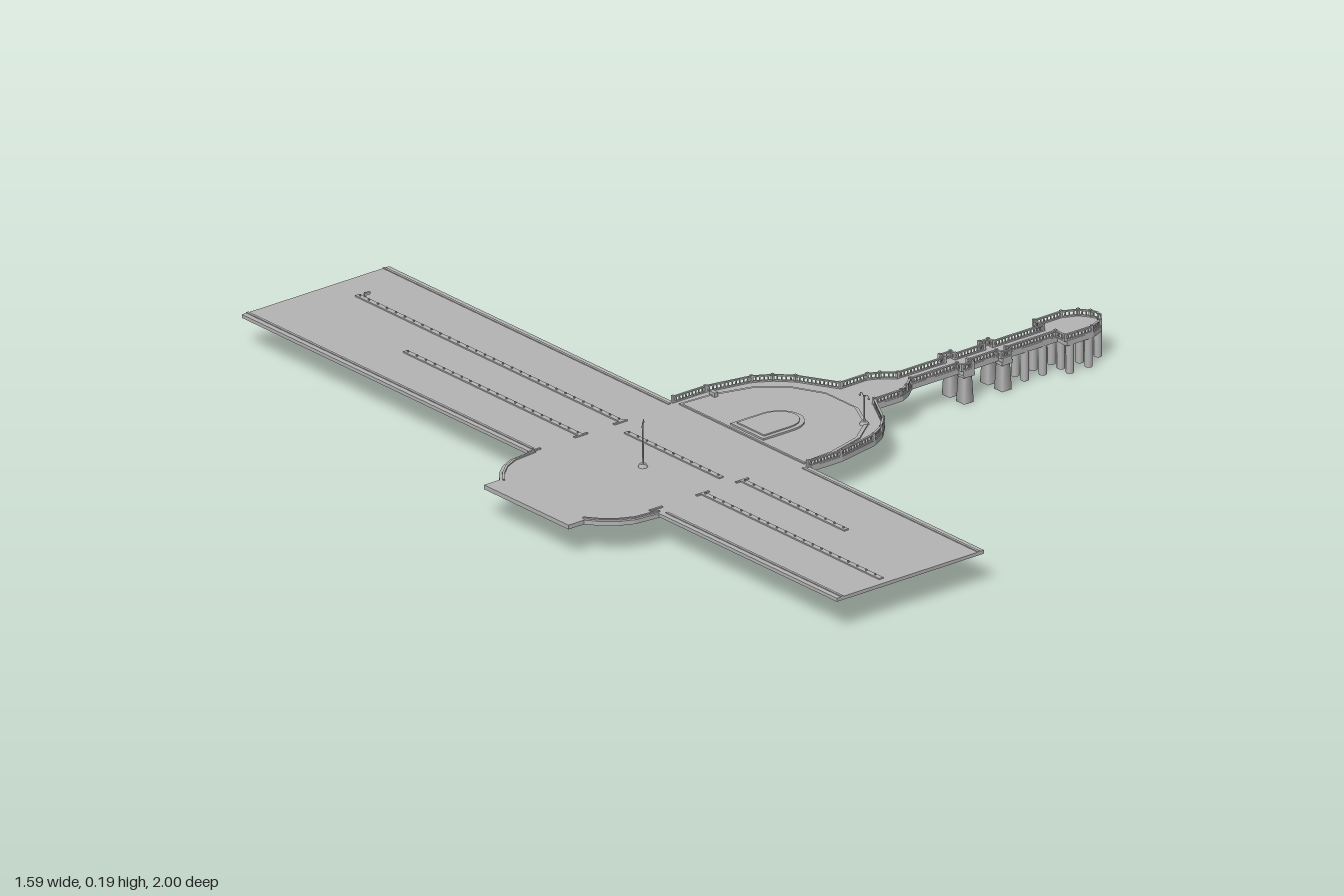
import * as THREE from 'three';

const MID = 0.185;   // z of the plaza and pier axis
const TOP = 0.08;    // road surface height
const stone = new THREE.MeshStandardMaterial({ color: 0xb4b4b4 });
stone.name = 'pale stone';

export function createModel() {
  const root = new THREE.Group();
  const group = (name) => {
    const g = new THREE.Group();
    g.name = name;
    root.add(g);
    return g;
  };
  const add = (parent, name, geo, x = 0, y = 0, z = 0) => {
    const m = new THREE.Mesh(geo, stone);
    m.name = name;
    m.position.set(x, y, z);
    parent.add(m);
    return m;
  };
  const box = (parent, name, w, h, d, x, y, z) =>
    add(parent, name, new THREE.BoxGeometry(w, h, d), x, y, z);
  // closed outline from half an outline given as [x, distance from axis]
  const mirrored = (half) => [
    ...half.map(([x, d]) => [x, MID - d]),
    ...half.filter(([, d]) => d > 0).reverse().map(([x, d]) => [x, MID + d]),
  ];
  // horizontal slab with its underside at y
  const slab = (parent, name, outline, y, h, hole) => {
    const v = (pts) => pts.map(([x, z]) => new THREE.Vector2(x, -z));
    const shape = new THREE.Shape(v(outline));
    if (hole) shape.holes.push(new THREE.Path(v(hole)));
    const geo = new THREE.ExtrudeGeometry(shape, { depth: h, bevelEnabled: false });
    geo.rotateX(-Math.PI / 2);
    return add(parent, name, geo, 0, y, 0);
  };
  // bar lying along a line between two ground points
  const bar = (parent, name, [x0, z0], [x1, z1], y, h, w) => {
    const len = Math.hypot(x1 - x0, z1 - z0);
    const m = box(parent, name, len + w * 0.8, h, w, (x0 + x1) / 2, y, (z0 + z1) / 2);
    m.rotation.y = -Math.atan2(z1 - z0, x1 - x0);
  };

  // Road
  const road = group('road');
  box(road, 'roadDeck', 0.41, 0.008, 2, -0.405, TOP - 0.004, 0);
  for (const x of [-0.595, -0.215]) {
    for (const [a, b] of [[-1, -0.04], [0.41, 1]])
      box(road, 'roadKerb', 0.006, 0.002, b - a, x, TOP + 0.001, (a + b) / 2);
  }
  // Median strips with bollards
  const medians = [[-0.47, 0.38, 0.98], [-0.36, 0.38, 0.73], [-0.47, -0.62, -0.03], [-0.355, -0.92, -0.03], [-0.385, 0.02, 0.34]];
  for (const [x, a, b] of medians) {
    box(road, 'median', 0.012, 0.003, b - a, x, TOP + 0.0015, (a + b) / 2);
    for (let z = a + 0.01; z < b; z += 0.03)
      box(road, 'bollard', 0.003, 0.004, 0.003, x, TOP + 0.005, z);
  }
  for (const z of [-0.03, 0.38])
    for (const x of [-0.6, -0.47, -0.36])
      box(road, 'crossingKerb', 0.035, 0.003, 0.005, x, TOP + 0.0015, z);
  // Road sign
  box(road, 'signPost', 0.003, 0.014, 0.003, -0.35, TOP + 0.007, -0.9);
  box(road, 'signPlate', 0.016, 0.006, 0.004, -0.345, TOP + 0.009, -0.9);

  // Inland plaza
  const inland = group('inlandPlaza');
  const inlandHalf = [[-0.8, 0], [-0.8, 0.142], [-0.757, 0.142], [-0.735, 0.17], [-0.705, 0.195], [-0.67, 0.211], [-0.61, 0.217], [-0.6, 0.217], [-0.6, 0]]
    .filter(([, d]) => d > 0);
  slab(inland, 'inlandDeck', mirrored(inlandHalf), 0.07, TOP - 0.07);
  for (const s of [-1, 1])
    for (let i = 1; i < 5; i++) {
      const [p, q] = [inlandHalf[i], inlandHalf[i + 1]].map(([x, d]) => [x + 0.006, MID + s * (d - 0.008)]);
      bar(inland, 'inlandKerb', p, q, TOP + 0.0015, 0.003, 0.005);
    }

  // Seaside plaza and pier deck
  const pier = group('plazaAndPier');
  const half = [[-0.2, 0.23], [-0.11, 0.23], [0, 0.208], [0.04, 0.185], [0.075, 0.15], [0.125, 0.06],
    [0.2, 0.06], [0.225, 0.048], [0.255, 0.024], [0.385, 0.024], [0.385, 0.04], [0.415, 0.04], [0.415, 0.024],
    [0.495, 0.024], [0.495, 0.04], [0.52, 0.04], [0.52, 0.024], [0.66, 0.024], [0.66, 0.055],
    [0.735, 0.055], [0.77, 0.04], [0.787, 0.018], [0.793, 0]];
  slab(pier, 'pierDeck', mirrored(half), 0.068, TOP - 0.068);

  // Sunken forecourt border
  const border = (k, o) => mirrored([[-0.2, 0.21], [-0.11, 0.205], [-0.02, 0.18], [0.04, 0.135], [0.08, 0.055]]
    .map(([x, d]) => [x - o, d - k]));
  slab(pier, 'forecourtKerb', border(0, 0), TOP, 0.003, border(0.007, 0.005).map(([x, z], i, a) => [i === 0 || i === a.length - 1 ? -0.195 : x, z]));

  // D-shaped planter, stepped
  const dee = (r, x0) => {
    const pts = [[x0, r]];
    for (let i = 0; i <= 8; i++) {
      const a = Math.PI / 2 * (1 - i / 8);
      pts.push([-0.1 + r * Math.cos(a) * 1.1, i === 8 ? 0 : r * Math.sin(a)]);
    }
    return mirrored(pts);
  };
  slab(pier, 'planter', dee(0.055, -0.185), TOP, 0.004);
  slab(pier, 'planterBed', dee(0.045, -0.175), TOP, 0.007);

  // Balustrade: plinth, handrail and balusters along both edges
  const rail = group('balustrade');
  const spots = [];
  for (const s of [-1, 1])
    for (let i = 0; i < half.length - 1; i++) {
      const [p, q] = [half[i], half[i + 1]].map(([x, d]) => [x - 0.003, MID + s * Math.max(0, d - 0.003)]);
      bar(rail, 'railPlinth', p, q, TOP + 0.0015, 0.003, 0.005);
      bar(rail, 'handrail', p, q, TOP + 0.0135, 0.003, 0.005);
      const n = Math.max(1, Math.round(Math.hypot(q[0] - p[0], q[1] - p[1]) / 0.009));
      for (let j = 0; j < n; j++)
        spots.push([p[0] + (q[0] - p[0]) * j / n, p[1] + (q[1] - p[1]) * j / n, j === 0]);
    }
  const baluster = new THREE.CylinderGeometry(0.0015, 0.002, 0.011, 6, 1, true);
  const post = new THREE.BoxGeometry(0.006, 0.017, 0.006);
  for (const [x, z, corner] of spots)
    add(rail, corner ? 'railPost' : 'baluster', corner ? post : baluster, x, TOP + (corner ? 0.0085 : 0.007), z);

  // Pier supports: broad flared piers, then rows of slim piles
  const supports = group('supports');
  for (const x of [0.402, 0.508])
    for (const s of [-1, 1]) {
      const geo = new THREE.CylinderGeometry(0.0145, 0.019, 0.07, 4);
      geo.rotateY(Math.PI / 4);
      add(supports, 'flaredPier', geo, x, 0.035, MID + s * 0.024);
      box(supports, 'pierCap', 0.03, 0.008, 0.03, x, 0.066, MID + s * 0.024);
    }
  for (const x of [0.575, 0.625, 0.676, 0.728, 0.779])
    for (const s of [-1, 1]) {
      const zs = x < 0.65 ? [0.016] : x < 0.75 ? [0.016, 0.046] : [0.016];
      for (const z of zs)
        add(supports, 'pile', new THREE.CylinderGeometry(0.009, 0.009, 0.07, 8), x, 0.035, MID + s * z);
    }

  // Street lamps with curled arms
  const lamp = (name, x, z, top, arms, turn) => {
    const g = group(name);
    g.position.set(x, TOP, z);
    g.rotation.y = turn;
    const h = top - TOP;
    add(g, 'lampBase', new THREE.CylinderGeometry(0.007, 0.011, 0.008, 8), 0, 0.004, 0);
    add(g, 'lampPole', new THREE.CylinderGeometry(0.0012, 0.0025, h, 6), 0, h / 2, 0);
    for (let i = 0; i < arms; i++) {
      const arm = new THREE.Group();
      arm.name = 'lampArm';
      arm.rotation.y = i * Math.PI * 2 / arms;
      const path = new THREE.CatmullRomCurve3([[0, h - 0.012], [0.004, h], [0.011, h + 0.003], [0.015, h - 0.003]]
        .map(([u, v]) => new THREE.Vector3(u, v, 0)));
      add(arm, 'armTube', new THREE.TubeGeometry(path, 8, 0.0008, 5), 0, 0, 0);
      add(arm, 'lampHead', new THREE.SphereGeometry(0.0025, 8, 6), 0.015, h - 0.004, 0);
      g.add(arm);
    }
  };
  lamp('tallLamp', -0.475, MID, 0.183, 2, Math.PI / 4);
  lamp('plazaLamp', 0.038, 0.31, 0.148, 2, Math.PI / 2);
  // Kiosk by the plaza edge
  box(pier, 'kiosk', 0.01, 0.01, 0.018, -0.112, TOP + 0.005, -0.015);
  return root;
}
